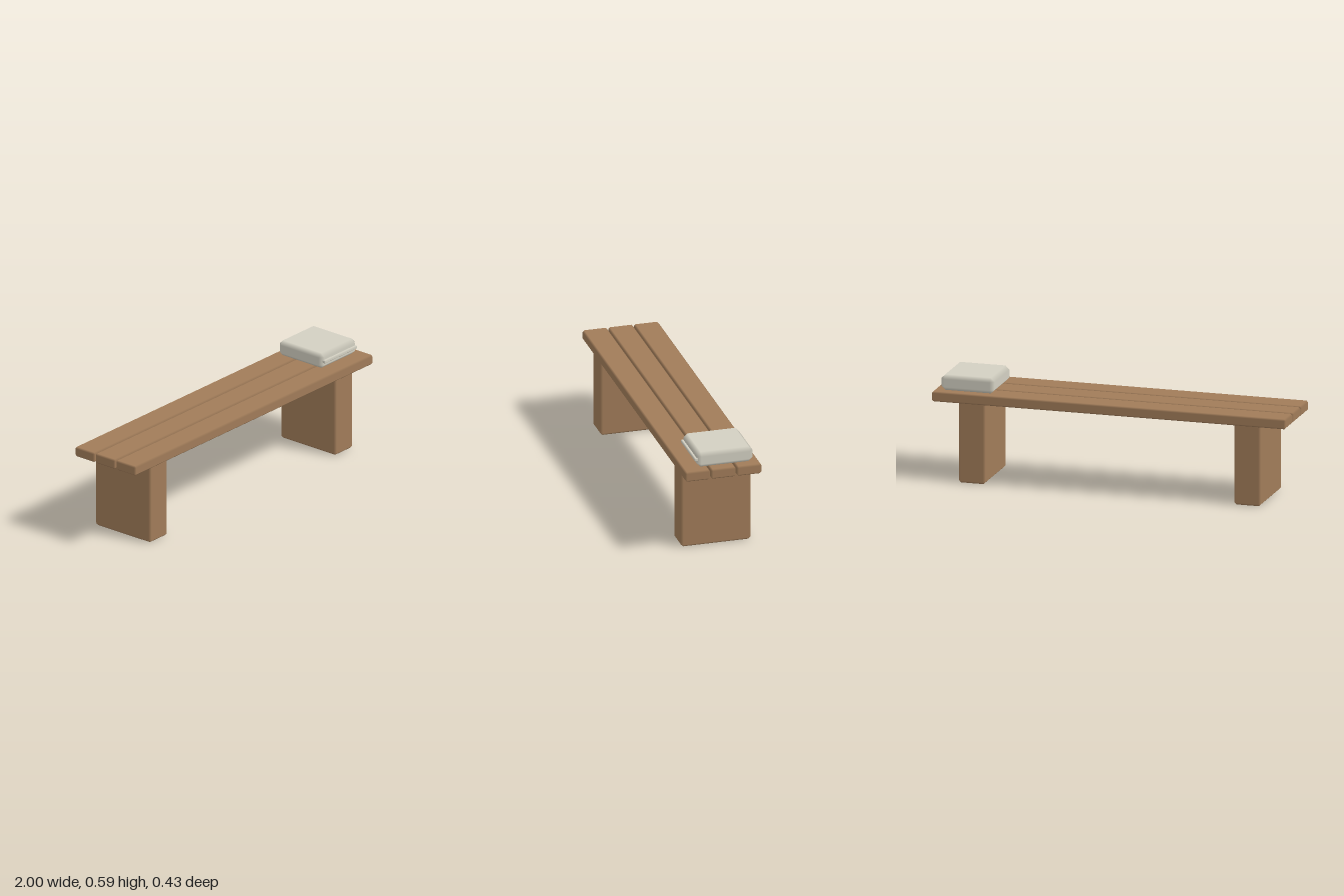
import * as THREE from 'three';

// Box with a single chamfer on every edge; normals blend across the chamfers.
function chamferBox(w, h, d, bevel) {
  const half = [w / 2, h / 2, d / 2];
  const position = [], normal = [], index = [];
  const point = (axis, s) => s.map((v, i) => v * (half[i] - (i === axis ? 0 : bevel)));
  // One vertex per face and corner
  const id = (axis, s) => axis * 8 + (s[0] > 0 ? 4 : 0) + (s[1] > 0 ? 2 : 0) + (s[2] > 0 ? 1 : 0);
  const signs = [-1, 1];
  for (let axis = 0; axis < 3; axis++)
    for (const x of signs) for (const y of signs) for (const z of signs) {
      const s = [x, y, z];
      position.push(...point(axis, s));
      normal.push(...s.map((v, i) => (i === axis ? v : 0)));
    }
  const vec = (i, list) => new THREE.Vector3().fromArray(list, i * 3);
  // Triangle turned to face away from the middle
  const tri = (a, b, c) => {
    const n = new THREE.Vector3().crossVectors(
      vec(b, position).sub(vec(a, position)), vec(c, position).sub(vec(a, position)));
    const out = vec(a, normal).add(vec(b, normal)).add(vec(c, normal));
    index.push(...(n.dot(out) > 0 ? [a, b, c] : [a, c, b]));
  };
  const quad = (a, b, c, e) => { tri(a, b, c); tri(a, c, e); };
  const corner = (a, sa, b, sb, c, sc) => {
    const s = [0, 0, 0];
    s[a] = sa; s[b] = sb; s[c] = sc;
    return s;
  };
  for (let a = 0; a < 3; a++) {
    const b = (a + 1) % 3, c = (a + 2) % 3;
    for (const p of signs) {
      const face = (q, r) => id(a, corner(a, p, b, q, c, r));
      quad(face(-1, -1), face(1, -1), face(1, 1), face(-1, 1));
      // Chamfer between the faces of axes a and b, running along c
      for (const q of signs) {
        const lo = corner(a, p, b, q, c, -1), hi = corner(a, p, b, q, c, 1);
        quad(id(a, lo), id(b, lo), id(b, hi), id(a, hi));
      }
    }
  }
  for (const x of signs) for (const y of signs) for (const z of signs) {
    const s = [x, y, z];
    tri(id(0, s), id(1, s), id(2, s));
  }
  const geometry = new THREE.BufferGeometry();
  geometry.setAttribute('position', new THREE.Float32BufferAttribute(position, 3));
  geometry.setAttribute('normal', new THREE.Float32BufferAttribute(normal, 3));
  geometry.setIndex(index);
  return geometry;
}

export function createModel() {
  const group = new THREE.Group();
  group.name = 'bench';
  const wood = new THREE.MeshStandardMaterial({ name: 'wood', color: 0xa17c59 });
  const fabric = new THREE.MeshStandardMaterial({ name: 'pale fabric', color: 0xd3d0c2 });

  // Chamfered part given by its extents on each axis
  const part = (name, material, [x0, x1], [y0, y1], [z0, z1], bevel) => {
    const mesh = new THREE.Mesh(chamferBox(x1 - x0, y1 - y0, z1 - z0, bevel), material);
    mesh.position.set((x0 + x1) / 2, (y0 + y1) / 2, (z0 + z1) / 2);
    mesh.name = name;
    group.add(mesh);
  };

  // Three seat planks
  ['backPlank', 'middlePlank', 'frontPlank'].forEach((name, i) => {
    const z = (i - 1) * 0.1445;
    part(name, wood, [-1, 1], [0.447, 0.503], [z - 0.069, z + 0.069], 0.009);
  });

  // Slab legs, reaching up slightly between the planks
  for (const [name, x] of [['leftLeg', 0.778], ['rightLeg', -0.778]])
    part(name, wood, [x - 0.075, x + 0.075], [0, 0.468], [-0.195, 0.195], 0.012);

  // Cushion with a piped seam on its front
  part('cushion', fabric, [0.66, 0.96], [0.502, 0.59], [-0.178, 0.135], 0.022);
  part('cushionPiping', fabric, [0.672, 0.948], [0.537, 0.556], [0.125, 0.148], 0.006);

  return group;
}
